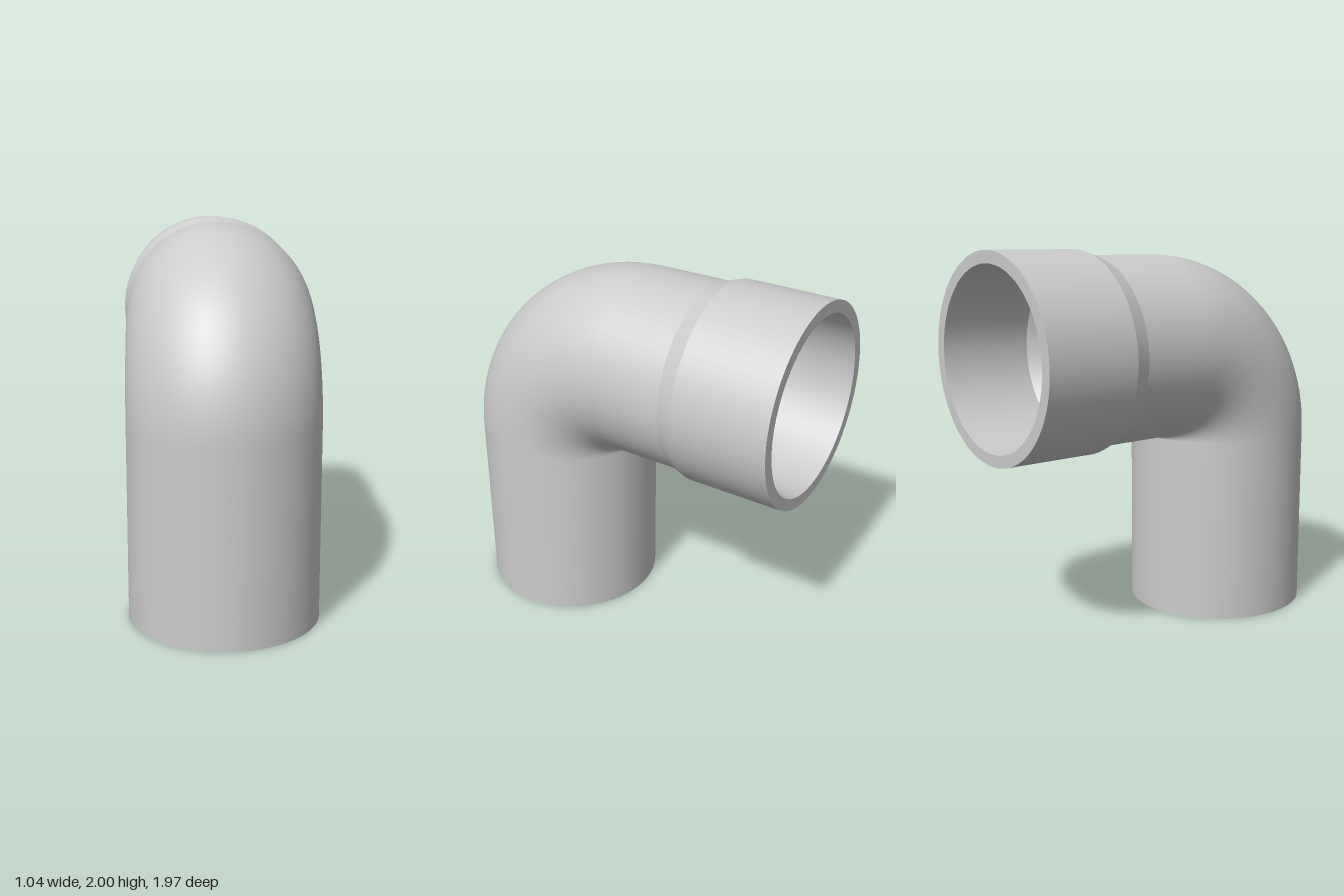
import * as THREE from 'three';
import { mergeGeometries } from 'three/addons/utils/BufferGeometryUtils.js';

const SIDES = 64, BEND_STEPS = 24;
const BEND_Y = 0.985, BEND_R = 0.495;        // bend pivot height, centreline radius
const PIPE = 0.49, BORE = 0.39;              // pipe radii
const SOCKET = 0.52, SOCKET_BORE = 0.458;    // socket radii
const TAPER_A = 0.4, TAPER_B = 0.49, END = 0.985; // distances behind the bend

// A station is [bend angle, offset along the tangent, radius]
const back = (offset, r) => [Math.PI / 2, offset, r];
const foot = (r) => [0, -BEND_Y, r];

// Smooth strip of rings through the stations; separate strips meet in sharp edges
function strip(...stations) {
  const pos = [], index = [];
  stations.forEach(([angle, offset, r], i) => {
    const s = Math.sin(angle), c = Math.cos(angle);
    for (let j = 0; j < SIDES; j++) {
      const phi = (j / SIDES) * Math.PI * 2;
      const out = BEND_R + r * Math.sin(phi);
      pos.push(r * Math.cos(phi), BEND_Y + out * s + offset * c, out * c - offset * s);
      if (i === 0) continue;
      const k = (j + 1) % SIDES, lo = (i - 1) * SIDES, hi = i * SIDES;
      index.push(lo + j, hi + j, lo + k, hi + j, hi + k, lo + k);
    }
  });
  const g = new THREE.BufferGeometry();
  g.setAttribute('position', new THREE.Float32BufferAttribute(pos, 3));
  g.setIndex(index);
  g.computeVertexNormals();
  return g;
}

// Foot, quarter bend and horizontal run at one radius
function elbow(r) {
  const list = [foot(r)];
  for (let i = 0; i <= BEND_STEPS; i++) list.push([(i / BEND_STEPS) * Math.PI / 2, 0, r]);
  list.push(back(TAPER_A, r));
  return list;
}

export function createModel() {
  const group = new THREE.Group();
  const material = new THREE.MeshStandardMaterial({ color: 0xcccccc });
  const add = (name, strips) => {
    const mesh = new THREE.Mesh(mergeGeometries(strips), material);
    mesh.name = name;
    group.add(mesh);
  };

  // Bent pipe: outer wall, bore and the annular foot
  add('elbowPipe', [
    strip(...elbow(PIPE)),
    strip(...elbow(BORE).reverse()),
    strip(foot(BORE), foot(PIPE)),
  ]);

  // Widened socket: taper, sleeve, rim, inner sleeve and inner taper
  add('socket', [
    strip(back(TAPER_A, PIPE), back(TAPER_B, SOCKET)),
    strip(back(TAPER_B, SOCKET), back(END, SOCKET)),
    strip(back(END, SOCKET), back(END, SOCKET_BORE)),
    strip(back(END, SOCKET_BORE), back(TAPER_B, SOCKET_BORE)),
    strip(back(TAPER_B, SOCKET_BORE), back(TAPER_A, BORE)),
  ]);

  return group;
}
